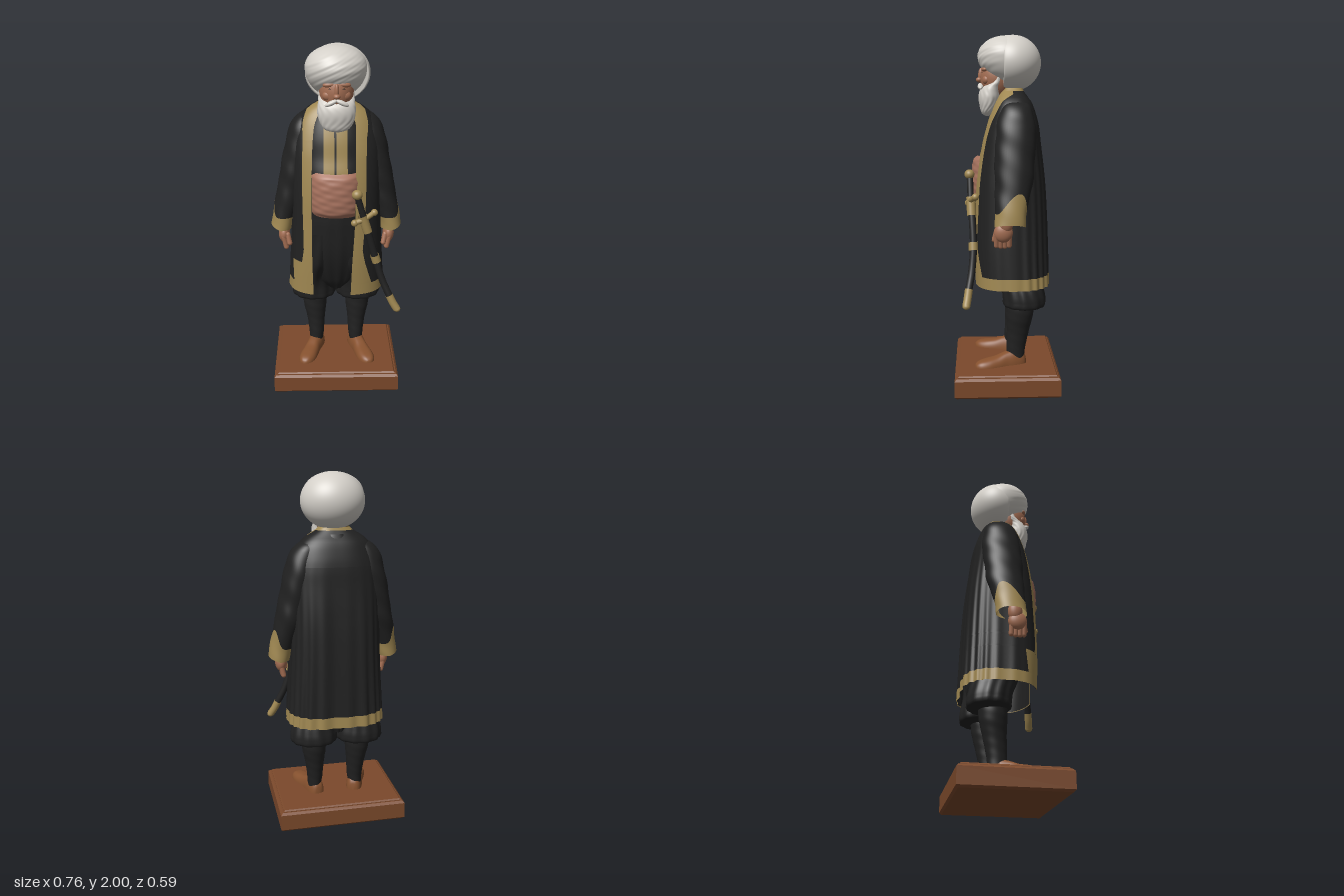
import * as THREE from 'three';
import { mergeVertices } from 'three/addons/utils/BufferGeometryUtils.js';

const material = (name, color, side = THREE.FrontSide) => {
  const m = new THREE.MeshStandardMaterial({ color, side });
  m.name = name;
  return m;
};
const black = material('black cloth', 0x212121, THREE.DoubleSide);
const gold = material('gold trim', 0xa08852, THREE.DoubleSide);
const white = material('white', 0xd3cfc8, THREE.DoubleSide);
const skin = material('skin', 0xa46e53);
const pink = material('sash pink', 0xa8735f);
const wood = material('wood', 0x7b492b);
const leather = material('shoe leather', 0x87522f, THREE.DoubleSide);

// Smooth interpolation of a table whose first column is the height
function sample(rows, y) {
  let i = 0;
  while (i < rows.length - 2 && y > rows[i + 1][0]) i++;
  const a = rows[i], b = rows[i + 1], h = b[0] - a[0], t = (y - a[0]) / h;
  const slope = (k, c) => {
    const p = rows[Math.max(k - 1, 0)], q = rows[Math.min(k + 1, rows.length - 1)];
    return (q[c] - p[c]) / (q[0] - p[0]);
  };
  return a.map((_, c) =>
    a[c] * (1 + 2 * t) * (1 - t) ** 2 + b[c] * t * t * (3 - 2 * t) +
    h * (slope(i, c) * t * (1 - t) ** 2 + slope(i + 1, c) * t * t * (t - 1)));
}

const spow = (v, e) => Math.sign(v) * Math.abs(v) ** e;

export function createModel() {
  const model = new THREE.Group();
  model.name = 'statue';

  const add = (name, geo, mat, x = 0, y = 0, z = 0, parent = model) => {
    const mesh = new THREE.Mesh(geo, mat);
    mesh.name = name;
    mesh.position.set(x, y, z);
    parent.add(mesh);
    return mesh;
  };
  // Smooth sheet from fn(u, v) -> [x, y, z]
  const sheet = (name, mat, nu, nv, fn) => {
    const pos = [], idx = [];
    for (let j = 0; j <= nv; j++) for (let i = 0; i <= nu; i++) pos.push(...fn(i / nu, j / nv));
    for (let j = 0; j < nv; j++) for (let i = 0; i < nu; i++) {
      const p = j * (nu + 1) + i, q = p + nu + 1;
      idx.push(p, p + 1, q + 1, p, q + 1, q);
    }
    let geo = new THREE.BufferGeometry();
    geo.setAttribute('position', new THREE.Float32BufferAttribute(pos, 3));
    geo.setIndex(idx);
    geo = mergeVertices(geo, 1e-5);
    geo.computeVertexNormals();
    return add(name, geo, mat);
  };
  // Point on a loft with rows [y, cx, cz, rx, rz]
  const ring = (rows, a, y, side = 1, e = 1, k = 1) => {
    const [, cx, cz, rx, rz] = sample(rows, y);
    return [side * cx + k * rx * spow(Math.sin(a), e), y, cz + k * rz * spow(Math.cos(a), e)];
  };
  const loft = (name, mat, rows, { side = 1, e = 1, fold = () => 0, nv = 36 } = {}) => {
    const y0 = rows[0][0], y1 = rows[rows.length - 1][0];
    return sheet(name, mat, 72, nv, (u, v) => {
      const a = (u % 1) * Math.PI * 2, y = y0 + (y1 - y0) * v;
      return ring(rows, a, y, side, e, 1 + fold(a, y));
    });
  };
  const blob = (name, mat, x, y, z, rx, ry, rz, rotZ = 0, parent = model) => {
    const m = add(name, new THREE.SphereGeometry(1, 28, 18), mat, x, y, z, parent);
    m.scale.set(rx, ry, rz);
    m.rotation.z = rotZ;
    return m;
  };
  const tube = (name, mat, pts, r, seg = 24) => add(name, new THREE.TubeGeometry(
    new THREE.CatmullRomCurve3(pts.map(p => new THREE.Vector3(...p))), seg, r, 14), mat);

  // Plinth: bevelled slab with a raised top plate
  const slab = (name, w, d, y0, y1, bevel) => {
    const s = new THREE.Shape(), x = w / 2 - bevel, z = d / 2 - bevel;
    s.moveTo(-x, -z).lineTo(x, -z).lineTo(x, z).lineTo(-x, z).closePath();
    const g = new THREE.ExtrudeGeometry(s, {
      depth: y1 - y0 - 2 * bevel, bevelThickness: bevel, bevelSize: bevel, bevelSegments: 1 });
    g.rotateX(-Math.PI / 2);
    add(name, g, wood, -0.005, y0 + bevel, 0);
  };
  slab('plinth', 0.735, 0.59, 0, 0.115, 0.012);
  slab('plinthTop', 0.695, 0.555, 0.09, 0.126, 0.007);

  // Shoes, stockings and baggy breeches
  const shoeRows = [[-0.127, 0, 0], [-0.122, 0.025, 0.045], [-0.1, 0.042, 0.075], [-0.05, 0.048, 0.082],
    [0, 0.046, 0.072], [0.05, 0.05, 0.055], [0.11, 0.052, 0.045], [0.155, 0.04, 0.035], [0.178, 0.018, 0.018], [0.182, 0, 0]];
  for (const side of [-1, 1]) {
    const tag = side > 0 ? 'left' : 'right';
    const shoe = sheet(tag + 'Shoe', leather, 40, 20, (u, v) => {
      const [s, w, h] = sample(shoeRows, -0.127 + 0.309 * (1 - Math.cos(u * Math.PI)) / 2), b = v * Math.PI;
      return [-w * spow(Math.cos(b), 0.7), h * Math.sin(b), s];
    });
    shoe.position.set(side * 0.143, 0.122, 0.009);
    shoe.rotation.y = side * 0.32;
    loft(tag + 'Stocking', black, [[0.15, 0.125, -0.052, 0.038, 0.05], [0.22, 0.122, -0.055, 0.045, 0.055],
      [0.32, 0.125, -0.067, 0.055, 0.064], [0.42, 0.13, -0.077, 0.071, 0.077], [0.52, 0.13, -0.08, 0.075, 0.08]],
      { side, fold: (a, y) => 0.008 * Math.sin(y * 110 + 2 * a) });
    loft(tag + 'BreechesLeg', black, [[0.462, 0.13, -0.1, 0.05, 0.05], [0.468, 0.134, -0.101, 0.118, 0.108],
      [0.51, 0.134, -0.102, 0.133, 0.121], [0.56, 0.133, -0.095, 0.128, 0.12], [0.62, 0.128, -0.08, 0.116, 0.123],
      [0.75, 0.113, -0.05, 0.122, 0.153], [0.95, 0.1, -0.035, 0.125, 0.16]],
      { side, fold: (a, y) => 0.025 * Math.sin(11 * a + side * y * 7) });
  }
  loft('breechesTop', black, [[0.54, 0, -0.09, 0.05, 0.09], [0.62, 0, -0.075, 0.15, 0.13], [0.8, 0, -0.045, 0.205, 0.165],
    [1, 0, -0.03, 0.21, 0.175], [1.14, 0, -0.02, 0.19, 0.165]], { fold: (a, y) => 0.05 * Math.sin(17 * a) * (1.2 - y) });

  // Tunic with two gold stripes, and a wrapped sash
  const tunic = [[1.05, 0, -0.02, 0.19, 0.165], [1.3, 0, -0.025, 0.2, 0.172], [1.4, 0, -0.035, 0.2, 0.155],
    [1.5, 0, -0.04, 0.19, 0.14], [1.6, 0, -0.045, 0.15, 0.11], [1.67, 0, -0.045, 0.075, 0.075]];
  loft('tunic', black, tunic, { e: 0.85 });
  for (const [x0, x1] of [[-0.072, -0.013], [-0.002, 0.06]])
    sheet('tunicStripe', gold, 6, 16, (u, v) => {
      const y = 1.29 + 0.33 * v, x = x0 + (x1 - x0) * u, [, , cz, rx, rz] = sample(tunic, y);
      const s = (Math.abs(x) / rx) ** (1 / 0.85);
      return [x, y, cz + rz * Math.sqrt(1 - s * s) ** 0.85 + 0.005];
    });
  loft('sash', pink, [[1.07, 0, 0, 0.155, 0.165], [1.1, 0, 0, 0.163, 0.186], [1.2, 0, 0, 0.167, 0.195],
    [1.3, 0, 0, 0.165, 0.185], [1.325, 0, 0, 0.155, 0.16]],
    { e: 0.85, nv: 70, fold: (a, y) => 0.004 * Math.sin(y * 170 + 7 * Math.sin(a)) + 0.004 * Math.sin(y * 105 - 9 * Math.sin(a)) });

  // Open coat: rows [y, half width, front z, back z, right opening, left opening]
  const coat = [[0.59, 0.282, 0.178, -0.255, 0.135, 0.08], [0.8, 0.27, 0.185, -0.249, 0.14, 0.088],
    [1, 0.26, 0.182, -0.242, 0.14, 0.1], [1.2, 0.255, 0.172, -0.229, 0.14, 0.105],
    [1.4, 0.25, 0.14, -0.202, 0.135, 0.105], [1.5, 0.24, 0.113, -0.188, 0.13, 0.105],
    [1.58, 0.215, 0.085, -0.165, 0.12, 0.105], [1.63, 0.185, 0.062, -0.145, 0.1, 0.09],
    [1.66, 0.15, 0.045, -0.122, 0.08, 0.078], [1.685, 0.105, 0.03, -0.105, 0.06, 0.06],
    [1.705, 0.085, 0.02, -0.098, 0.055, 0.055]];
  const E = 0.76;
  const coatPoint = (a, y, inset = 0) => {
    const [, w, zf, zb] = sample(coat, y), low = Math.max(0, 1.55 - y);
    const drape = low * 0.018 * Math.max(0, 0.55 - Math.cos(a));
    const dip = 0.06 * Math.min(1, low * 3) * Math.exp(-((a - Math.PI) ** 2) * 10);
    const k = 1 - inset - dip + drape * Math.sin(22 * a + 1.5 * Math.sin(3 * a));
    return [w * k * spow(Math.sin(a), E), y, (zf + zb) / 2 + (zf - zb) / 2 * k * spow(Math.cos(a), E)];
  };
  const edge = (y, left, extra) => {
    const r = sample(coat, y);
    const a = Math.asin(Math.min(1, ((left ? r[5] : r[4]) + extra) / r[1]) ** (1 / E));
    return left ? a : Math.PI * 2 - a;
  };
  // Each side of a patch is [is left, offset from the opening at its foot, at its top]
  const coatPatch = (name, mat, y0, y1, nu, from, to, inset = 0) => sheet(name, mat, nu, Math.ceil((y1 - y0) * 40) + 2, (u, v) => {
    const y = y0 + (y1 - y0) * v;
    const [a, b] = [from, to].map(([left, low, top]) => edge(y, left, low + (top - low) * v));
    return coatPoint(a + (b - a) * u, y, inset);
  });
  const L = [true, 0, 0], R = [false, 0, 0];
  coatPatch('coatHem', gold, 0.59, 0.655, 160, L, R);
  coatPatch('coatLining', black, 0.592, 1.3, 160, L, R, 0.016);
  for (const [y0, y1, l0, l1, r0, r1] of [[0.655, 0.79, 0.12, 0.075, 0.112, 0.112], [0.79, 0.87, 0.075, 0.055, 0.06, 0.048],
    [0.87, 1.5, 0.055, 0.06, 0.048, 0.055], [1.5, 1.688, 0.06, 0.08, 0.055, 0.08]]) {
    const bandL = [true, l0, l1], bandR = [false, r0, r1];
    coatPatch('coatLeftBand', gold, y0, y1, 6, L, bandL);
    coatPatch('coatBody', black, y0, y1, 150, bandL, bandR);
    coatPatch('coatRightBand', gold, y0, y1, 6, bandR, R);
  }
  coatPatch('coatCollar', gold, 1.688, 1.705, 60, L, R);

  // Sleeves with pointed gold cuffs, and hands
  const arm = [[0.955, 0.319, -0.01, 0.062, 0.085], [1.03, 0.303, -0.017, 0.066, 0.085], [1.2, 0.256, -0.035, 0.081, 0.104],
    [1.4, 0.212, -0.045, 0.087, 0.112], [1.5, 0.19, -0.05, 0.085, 0.107], [1.57, 0.17, -0.05, 0.08, 0.092],
    [1.62, 0.145, -0.05, 0.055, 0.065], [1.645, 0.125, -0.05, 0.01, 0.01]];
  for (const side of [-1, 1]) {
    const tag = side > 0 ? 'left' : 'right';
    const point = (a, y) => ring(arm, a, y, side, 0.95, 1 + 0.03 * Math.sin(y * 38 + 2 * a) * Math.sin(a + y * 9));
    const cut = a => 1.03 + 0.11 * Math.max(0, side * Math.sin(a - side * 0.35)) ** 3;
    const rim = a => 0.955 + 0.02 * Math.max(0, side * Math.sin(a));
    sheet(tag + 'Sleeve', black, 48, 44, (u, v) => {
      const a = (u % 1) * Math.PI * 2, c = cut(a);
      return point(a, c + (1.645 - c) * v);
    });
    sheet(tag + 'Cuff', gold, 48, 8, (u, v) => {
      const a = (u % 1) * Math.PI * 2;
      return point(a, rim(a) + (cut(a) - rim(a)) * v);
    });
    const hand = new THREE.Group();
    hand.name = tag + 'Hand';
    model.add(hand);
    blob('wrist', skin, side * 0.308, 0.98, 0.01, 0.033, 0.06, 0.04, 0, hand);
    blob('palm', skin, side * 0.303, 0.925, 0.024, 0.033, 0.055, 0.052, 0, hand);
    for (let i = 0; i < 4; i++) {
      const f = add('finger', new THREE.CapsuleGeometry(0.015, 0.06, 4, 10), skin,
        side * 0.298, 0.876 + 0.004 * Math.abs(i - 1.5), -0.008 + i * 0.023, hand);
      f.rotation.z = -side * 0.22;
    }
    const thumb = add('thumb', new THREE.CapsuleGeometry(0.015, 0.05, 4, 10), skin, side * 0.276, 0.905, 0.066, hand);
    thumb.rotation.set(-0.25, 0, -side * 0.2);
  }

  // Curved sword in its scabbard
  tube('scabbard', black, [[0.15, 1.08, 0.2], [0.19, 0.94, 0.19], [0.22, 0.83, 0.187], [0.26, 0.7, 0.197], [0.305, 0.6, 0.215]], 0.02);
  tube('scabbardTip', gold, [[0.3, 0.61, 0.213], [0.322, 0.565, 0.22], [0.345, 0.528, 0.227]], 0.022, 10);
  blob('tipCap', gold, 0.346, 0.527, 0.227, 0.021, 0.018, 0.021);
  tube('scabbardRing', gold, [[0.213, 0.855, 0.188], [0.226, 0.812, 0.187]], 0.026, 3);
  tube('scabbardMouth', gold, [[0.14, 1.1, 0.2], [0.172, 1, 0.196]], 0.026, 3);
  tube('grip', black, [[0.11, 1.22, 0.205], [0.13, 1.15, 0.203], [0.15, 1.08, 0.2]], 0.018, 10);
  blob('pommel', gold, 0.11, 1.225, 0.207, 0.03, 0.028, 0.028);
  tube('guard', gold, [[0.097, 1.062, 0.215], [0.15, 1.08, 0.206], [0.208, 1.108, 0.175]], 0.015, 10);
  for (const [x, y, z] of [[0.097, 1.062, 0.215], [0.208, 1.108, 0.175]]) blob('guardEnd', gold, x, y, z, 0.02, 0.02, 0.02);

  // Head: neck, face, brows, eyes, moustache and beard
  add('neck', new THREE.CylinderGeometry(0.068, 0.075, 0.18, 28), skin, 0, 1.68, -0.028);
  blob('face', skin, 0, 1.765, 0.045, 0.094, 0.125, 0.1);
  blob('noseBridge', skin, 0, 1.778, 0.139, 0.013, 0.04, 0.016);
  blob('noseTip', skin, 0, 1.752, 0.149, 0.019, 0.015, 0.019);
  for (const side of [-1, 1]) {
    blob('cheek', skin, side * 0.04, 1.75, 0.108, 0.036, 0.03, 0.024);
    blob('eye', black, side * 0.035, 1.789, 0.133, 0.01, 0.0025, 0.004);
    blob('brow', skin, side * 0.035, 1.81, 0.117, 0.04, 0.016, 0.02, side * -0.1);
    blob('moustache', white, side * 0.03, 1.716, 0.142, 0.037, 0.013, 0.016, side * -0.42);
  }
  loft('beard', white, [[1.55, 0, 0.105, 0.015, 0.01], [1.562, 0, 0.102, 0.06, 0.032], [1.6, 0, 0.096, 0.09, 0.05],
    [1.65, 0, 0.091, 0.103, 0.063], [1.69, 0, 0.085, 0.101, 0.062], [1.715, 0, 0.073, 0.098, 0.055],
    [1.735, 0, 0.052, 0.097, 0.045], [1.765, 0, 0.04, 0.096, 0.035]],
    { fold: (a, y) => 0.014 * Math.sin(13 * a + 9 * Math.sin(y * 22)) });

  // Turban: creased front wrap, low at the sides, overlapped by a smooth back bulge cut off at a seam
  const dome = (name, c, r, zMax, sag, fold) => sheet(name, white, 96, 64, (u, v) => {
    const a = (u % 1) * Math.PI * 2, b = (v - 0.5) * Math.PI;
    const d = [Math.cos(b) * Math.sin(a), Math.sin(b), Math.cos(b) * Math.cos(a)];
    const k = 1 + fold(...d);
    const p = d.map((n, i) => c[i] + n * r[i] * k);
    return [p[0], p[1] + sag * Math.min(0, d[1]) * (1 - d[2]), Math.min(p[2], zMax)];
  });
  dome('turbanFront', [-0.002, 1.88, -0.004], [0.168, 0.118, 0.162], 1, 0.05,
    (x, y, z) => 0.008 * Math.max(0, z) * (Math.sin(19 * (y - 0.5 * x) + 3 * x * x) + 0.5 * Math.sin(34 * (y - 0.7 * x))));
  dome('turbanBack', [0.0085, 1.845, -0.04], [0.1785, 0.155, 0.16], 0.014, 0, () => 0);
  return model;
}
